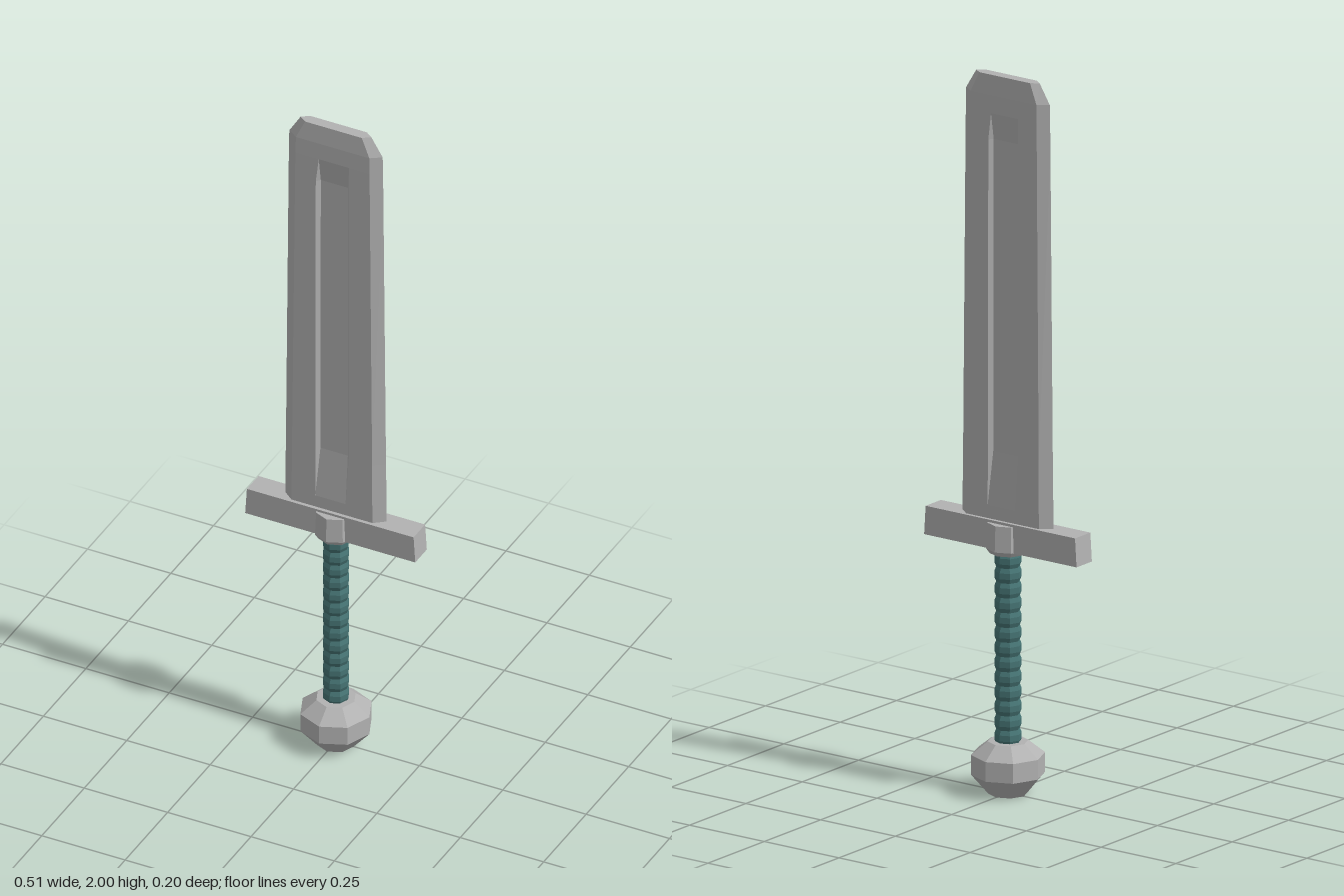
import * as THREE from 'three';

const steel = new THREE.MeshStandardMaterial({ name: 'steel grey', color: 0xb2b2b2 });
const wrap = new THREE.MeshStandardMaterial({ name: 'teal wrap', color: 0x467474 });

// Faceted normals
function facet(geometry) {
  const g = geometry.index ? geometry.toNonIndexed() : geometry;
  g.computeVertexNormals();
  return g;
}

function part(name, geometry, material) {
  const mesh = new THREE.Mesh(facet(geometry), material);
  mesh.name = name;
  return mesh;
}

// Eight-sided turned part from [radius, y] pairs
function turned(name, profile, material) {
  const points = profile.map(([r, y]) => new THREE.Vector2(r, y));
  return part(name, new THREE.LatheGeometry(points, 8), material);
}

// Blade lofted from sections: y, edge half width, flat half width, half thickness, groove depth
function bladeGeometry() {
  const sections = [
    [0.75, 0.152, 0.122, 0.024, 0],
    [0.80, 0.152, 0.121, 0.024, 0],
    [0.95, 0.150, 0.120, 0.023, 0.012],
    [1.82, 0.142, 0.112, 0.021, 0.012],
    [1.895, 0.141, 0.111, 0.021, 0],
    [1.945, 0.140, 0.110, 0.020, 0],
    [2.00, 0.106, 0.085, 0.015, 0],
  ];
  const rings = sections.map(([y, w, f, t, depth]) => {
    const half = [[-w, 0], [-f, t], [-0.05, t], [-0.041, t - depth],
      [0.041, t - depth], [0.05, t], [f, t]];
    const back = half.map(([x, z]) => [-x, -z]);
    return [...half, ...back].map(([x, z]) => [x, y, z]);
  });
  const out = [];
  const n = rings[0].length;
  for (let j = 0; j < rings.length - 1; j++) {
    for (let i = 0; i < n; i++) {
      const k = (i + 1) % n;
      const a = rings[j][i], b = rings[j][k], c = rings[j + 1][k], d = rings[j + 1][i];
      out.push(...a, ...b, ...c, ...a, ...c, ...d);
    }
  }
  // End caps
  const low = rings[0], top = rings[rings.length - 1];
  for (let i = 1; i < n - 1; i++) {
    out.push(...top[0], ...top[i], ...top[i + 1]);
    out.push(...low[0], ...low[i + 1], ...low[i]);
  }
  const g = new THREE.BufferGeometry();
  g.setAttribute('position', new THREE.Float32BufferAttribute(out, 3));
  return g;
}

export function createModel() {
  const model = new THREE.Group();
  model.name = 'sword';

  model.add(part('blade', bladeGeometry(), steel));

  // Crossguard, slightly wider at its lower edge
  const guard = new THREE.BoxGeometry(0.51, 0.08, 0.068);
  const pos = guard.attributes.position;
  for (let i = 0; i < pos.count; i++) {
    if (pos.getY(i) > 0) pos.setX(i, pos.getX(i) * 0.98);
  }
  guard.translate(0, 0.724, 0);
  model.add(part('crossguard', guard, steel));

  // Collar through the crossguard
  model.add(turned('collar', [[0, 0.672], [0.05, 0.672], [0.059, 0.685], [0.056, 0.757], [0, 0.757]], steel));

  // Ribbed grip
  const ribs = 13, y0 = 0.14, step = (0.675 - y0) / ribs;
  const profile = [];
  for (let i = 0; i < ribs; i++) {
    const y = y0 + i * step;
    profile.push([0.032, y], [0.037, y + step * 0.3], [0.037, y + step * 0.7]);
  }
  profile.push([0.032, 0.675]);
  model.add(turned('grip', profile, wrap));

  // Pommel
  model.add(turned('pommel', [[0, 0], [0.053, 0], [0.1, 0.055], [0.1, 0.11], [0.055, 0.146], [0, 0.146]], steel));

  return model;
}
